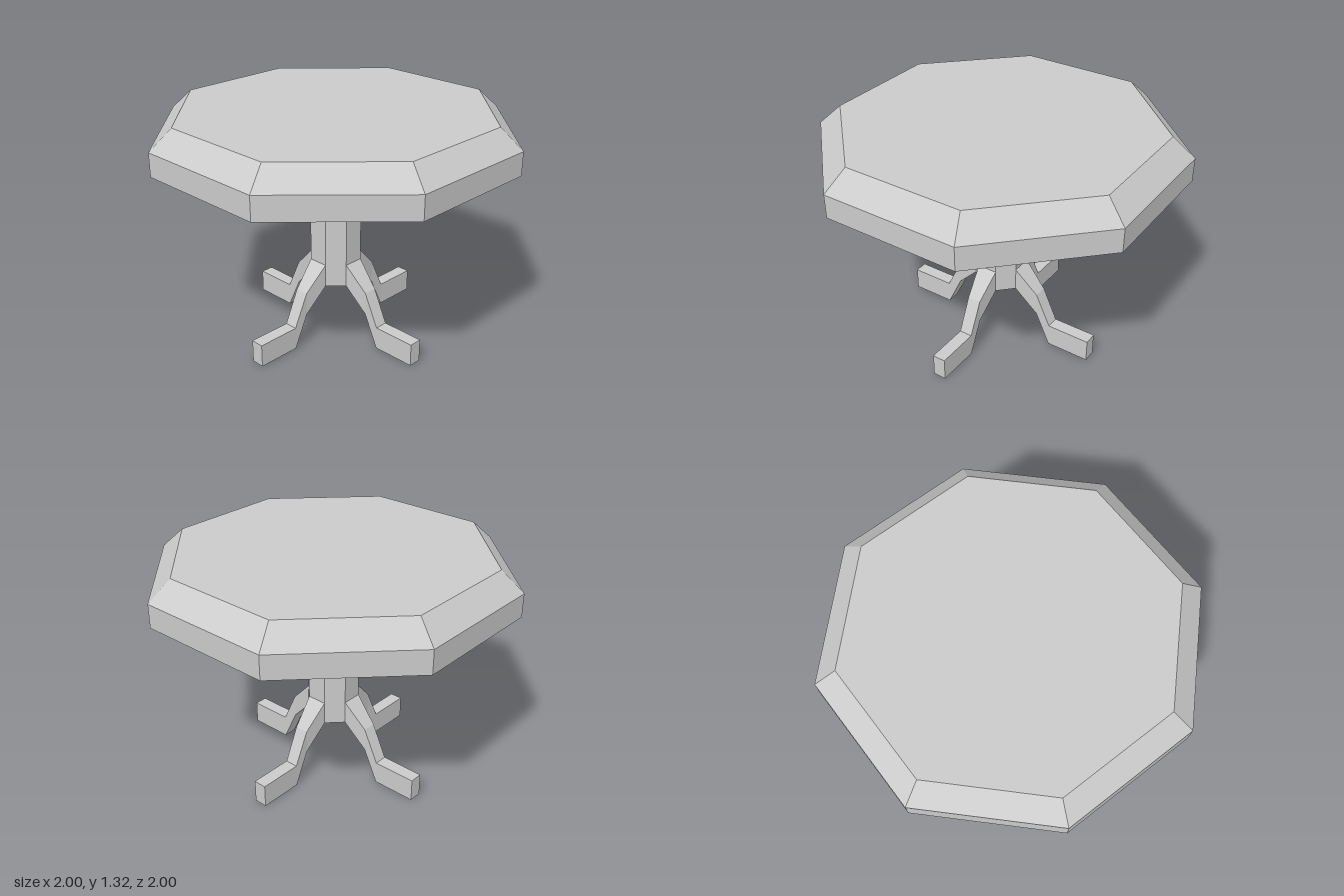
import * as THREE from 'three';

const material = new THREE.MeshStandardMaterial({ color: 0xcccccc, flatShading: true });

function addMesh(parent, name, geometry) {
  const flat = geometry.toNonIndexed();
  flat.computeVertexNormals();
  const mesh = new THREE.Mesh(flat, material);
  mesh.name = name;
  parent.add(mesh);
  return mesh;
}

// Leg stations from column to toe: radius, bottom height, top height, width
const STATIONS = [
  [0.1386, 0.32, 0.45, 0.115],
  [0.268, 0.185, 0.315, 0.077],
  [0.355, 0, 0.13, 0.075],
  [0.604, 0, 0.13, 0.075],
];

// A segmented box whose cross-sections are moved onto the stations
function legGeometry() {
  const last = STATIONS.length - 1;
  const geometry = new THREE.BoxGeometry(1, 1, 1, 1, 1, last);
  const p = geometry.attributes.position;
  for (let i = 0; i < p.count; i++) {
    const [r, low, high, width] = STATIONS[Math.round((p.getZ(i) + 0.5) * last)];
    p.setXYZ(i, p.getX(i) * width, p.getY(i) > 0 ? high : low, r);
  }
  return geometry;
}

export function createModel() {
  const table = new THREE.Group();
  table.name = 'pedestalTable';

  // Octagonal top with a bevelled upper rim
  const rim = [[0, 1.075], [1, 1.075], [1, 1.205], [0.877, 1.316], [0, 1.316]];
  addMesh(table, 'tabletop', new THREE.LatheGeometry(rim.map(([r, y]) => new THREE.Vector2(r, y)), 8));

  // Octagonal column
  const column = new THREE.CylinderGeometry(0.15, 0.15, 0.755, 8);
  column.translate(0, 0.32 + 0.755 / 2, 0);
  addMesh(table, 'column', column);

  // Four bent legs, each growing from a column facet
  for (let i = 0; i < 4; i++) {
    const leg = addMesh(table, `leg${i + 1}`, legGeometry());
    leg.rotation.y = Math.PI / 8 + (i * Math.PI) / 2;
  }
  return table;
}
